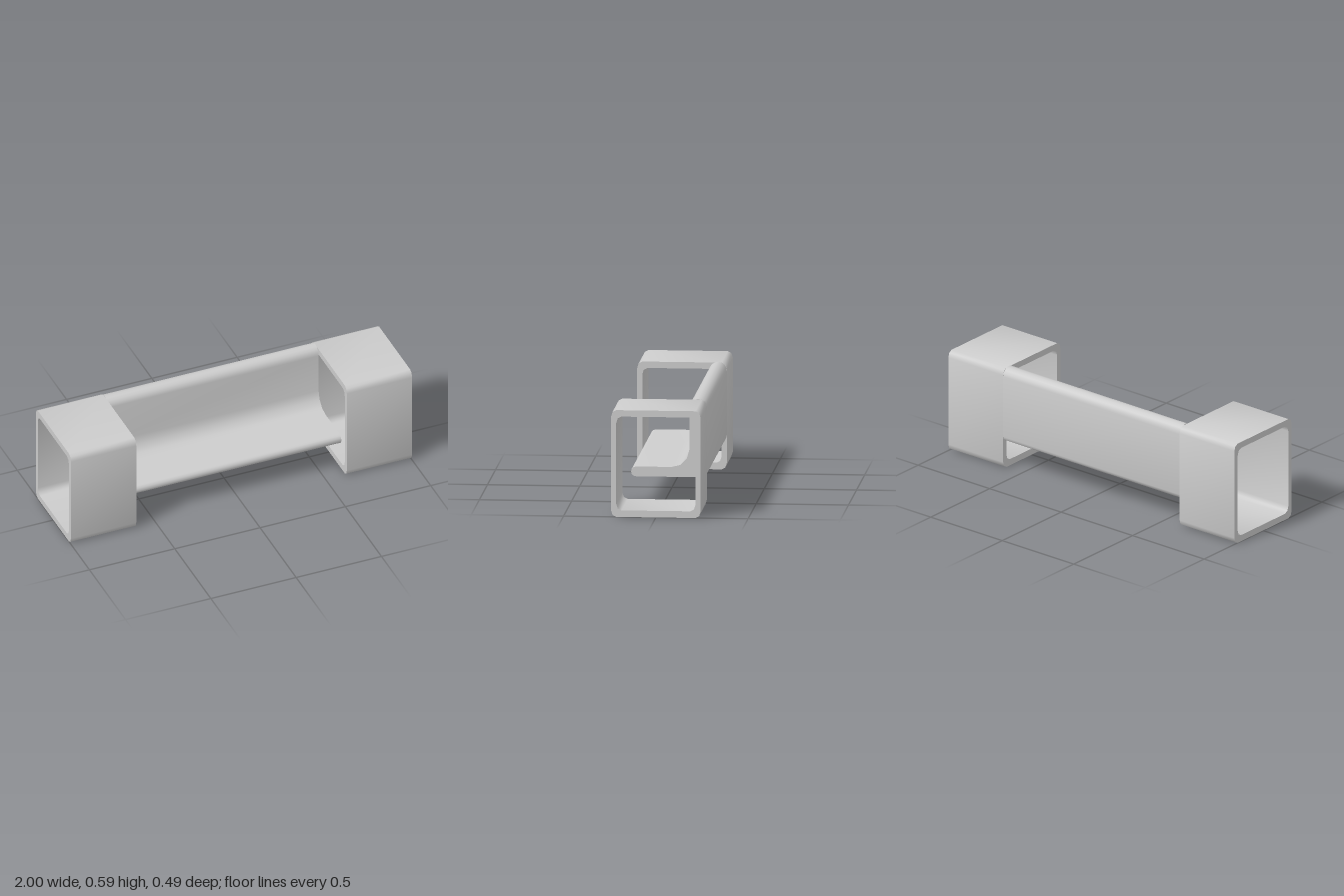
import * as THREE from 'three';
import { toCreasedNormals } from 'three/addons/utils/BufferGeometryUtils.js';

const INNER_X = 0.617; // where the seat meets the end frames

const toPoints = (zy) => zy.map(([z, y]) => new THREE.Vector2(-z, y));

// Extrude a side profile of [z, y] points along x, from x0 to x1
function extrudeAlongX(name, profile, x0, x1, hole) {
  const shape = new THREE.Shape(toPoints(profile));
  if (hole) shape.holes.push(new THREE.Path(toPoints(hole)));
  const geometry = new THREE.ExtrudeGeometry(shape, { depth: x1 - x0, bevelEnabled: false });
  geometry.rotateY(Math.PI / 2);
  geometry.translate(x0, 0, 0);
  const mesh = new THREE.Mesh(
    toCreasedNormals(geometry, 0.95),
    new THREE.MeshStandardMaterial({ color: 0xcccccc })
  );
  mesh.name = name;
  return mesh;
}

// Rectangle with two-segment eased corners
function easedRectangle(halfZ, y0, y1, cz, cy) {
  const corner = [[halfZ, cy], [halfZ - cz * 0.29, cy * 0.29], [halfZ - cz, 0]];
  const bottomFront = corner.map(([z, y]) => [z, y0 + y]);
  const bottomBack = corner.map(([z, y]) => [-z, y0 + y]).reverse();
  const topBack = corner.map(([z, y]) => [-z, y1 - y]);
  const topFront = corner.map(([z, y]) => [z, y1 - y]).reverse();
  return [...bottomFront, ...bottomBack, ...topBack, ...topFront];
}

// Points on an arc in the z-y plane, angles in degrees from +z towards +y
function arc(cz, cy, r, a0, a1, steps) {
  return Array.from({ length: steps + 1 }, (_, i) => {
    const a = THREE.MathUtils.degToRad(a0 + ((a1 - a0) * i) / steps);
    return [cz + r * Math.cos(a), cy + r * Math.sin(a)];
  });
}

export function createModel() {
  const group = new THREE.Group();
  group.name = 'bench';

  // Hollow end frames, left and right
  const outer = easedRectangle(0.243, 0, 0.584, 0.028, 0.037);
  const inner = easedRectangle(0.215, 0.036, 0.549, 0.029, 0.036);
  group.add(extrudeAlongX('leftEndFrame', outer, INNER_X, 1, inner));
  group.add(extrudeAlongX('rightEndFrame', outer, -1, -INNER_X, inner));

  // L-shaped seat and backrest with a coved inside corner
  const seat = [
    ...arc(0.141, 0.187, 0.027, -90, 90, 6), // rounded front lip
    [-0.052, 0.214], [-0.1, 0.226], [-0.135, 0.262], [-0.148, 0.31], // cove
    ...arc(-0.1955, 0.5405, 0.0475, 0, 180, 8), // rounded top rail
    ...arc(-0.216, 0.187, 0.027, 180, 270, 3), // lower back edge
  ];
  group.add(extrudeAlongX('seatAndBackrest', seat, -INNER_X, INNER_X));

  return group;
}
